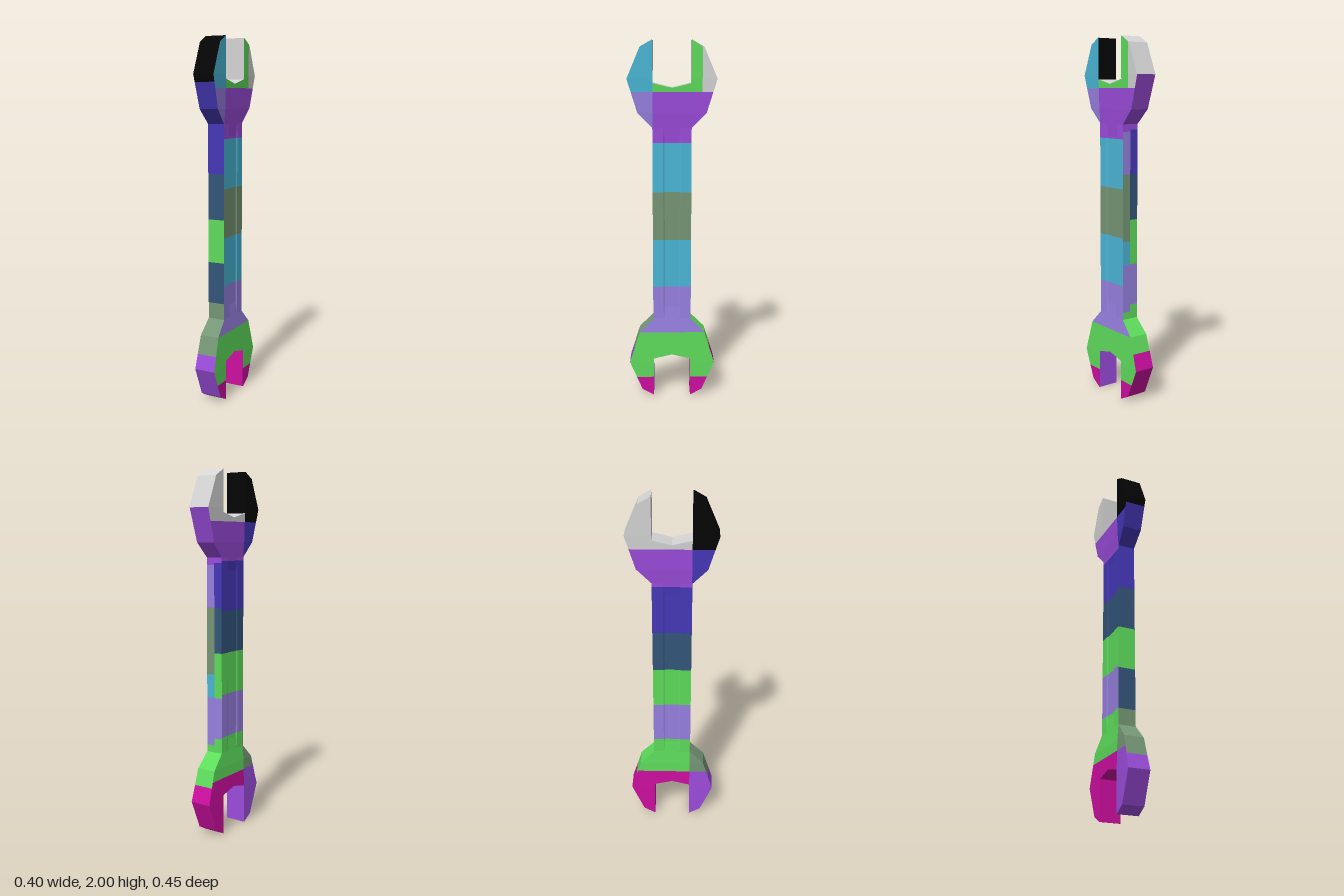
import * as THREE from 'three';

const mat = (name, color) => {
  const m = new THREE.MeshStandardMaterial({ color });
  m.name = name;
  return m;
};
const palette = {
  black: mat('black', 0x050505), gray: mat('gray', 0xd4d4d4),
  teal: mat('teal', 0x4ab6d6), green: mat('green', 0x5edc5c),
  lavender: mat('lavender', 0x9780e0), purple: mat('purple', 0x9c4cdc),
  indigo: mat('indigo', 0x4638b8), navy: mat('navy', 0x33557a),
  sage: mat('sage', 0x759675), magenta: mat('magenta', 0xcc0fa0),
};
const names = Object.keys(palette);

// Colour bands going up: [upper height, colour]
const front = [[0.11, 'magenta'], [0.38, 'green'], [0.65, 'lavender'], [0.92, 'teal'], [1.19, 'sage'], [1.46, 'teal']];
const back = [[0.32, 'magenta'], [0.55, 'green'], [0.79, 'lavender'], [1.02, 'green'], [1.25, 'navy'], [1.52, 'indigo'], [1.73, 'purple'], [2, 'gray']];
const left = [[0.28, 'purple'], [0.55, 'sage'], [0.78, 'navy'], [1.02, 'green'], [1.27, 'navy'], [1.76, 'indigo'], [2, 'black']];
const bands = {
  front: [...front, [1.73, 'purple'], [2, 'green']],
  frontRim: {
    '1': [...front, [1.73, 'purple'], [2, 'gray']],
    '-1': [...front, [1.54, 'purple'], [1.73, 'lavender'], [2, 'teal']],
  },
  back,
  backRim: {
    '1': back,
    '-1': [[0.32, 'purple'], [0.55, 'sage'], [0.79, 'lavender'], [1.02, 'green'], [1.25, 'navy'], [1.73, 'indigo'], [2, 'black']],
  },
  sideFront: {
    '1': [[0.29, 'magenta'], [0.5, 'green'], [0.77, 'lavender'], [0.9, 'teal'], [1.27, 'sage'], [1.5, 'lavender'], [1.8, 'purple'], [2, 'gray']],
    '-1': left,
  },
  sideBack: {
    '1': [[0.29, 'magenta'], [0.54, 'green'], [0.77, 'lavender'], [1.02, 'green'], [1.27, 'navy'], [1.51, 'indigo'], [1.8, 'purple'], [2, 'gray']],
    '-1': left,
  },
  slot: {
    '1': [[0.3, 'magenta'], [2, 'gray']],
    '-1': [[0.222, 'purple'], [0.3, 'magenta'], [1.778, 'gray'], [2, 'black']],
  },
};
const colourAt = (list, y) => list.find(([top]) => y < top)[1];

// Profiles as [distance from the nearer end, value]
const outerPts = [[0, 0.108], [0.035, 0.17], [0.2, 0.241], [0.38, 0.185], [0.46, 0.106], [1, 0.106]];
const innerPts = [[0, 0.104], [0.222, 0.104], [0.247, 0], [1, 0]];
const thickPts = [[0, 0.06], [0.2, 0.06], [0.38, 0.055], [0.46, 0.049], [1, 0.049]];
const dipPts = [[0, 0], [0.46, 0], [0.53, 0.005], [1, 0.005]];
function sample(pts, y) {
  const d = Math.min(y, 2 - y);
  let i = 1;
  while (i < pts.length - 1 && d > pts[i][0]) i++;
  const [a, p] = pts[i - 1], [b, q] = pts[i];
  return p + (q - p) * THREE.MathUtils.clamp((d - a) / (b - a), 0, 1);
}

// All heights where a profile bends or a colour changes
function heights() {
  const ys = [];
  for (const pts of [outerPts, innerPts, thickPts, dipPts]) for (const [d] of pts) ys.push(d, 2 - d);
  const collect = (b) => Array.isArray(b) ? b.forEach(([y]) => ys.push(y)) : Object.values(b).forEach(collect);
  collect(bands);
  return [...new Set(ys.map((y) => +y.toFixed(4)))].sort((a, b) => a - b);
}

// One section of the spanner between two heights
function section(name, y0, y1) {
  const tris = Object.fromEntries(names.map((n) => [n, []]));
  const e1 = new THREE.Vector3(), e2 = new THREE.Vector3();
  function quad(colour, out, a, b, c, d) {
    for (const [p, q, r] of [[a, b, c], [a, c, d]]) {
      e1.subVectors(q, p);
      e2.subVectors(r, p);
      e1.cross(e2);
      if (e1.length() < 1e-9) continue;
      for (const v of e1.dot(out) > 0 ? [p, q, r] : [p, r, q]) tris[colour].push(v.x, v.y, v.z);
    }
  }
  const V = (x, y, z) => new THREE.Vector3(x, y, z);
  const ys = heights().filter((y) => y >= y0 - 1e-6 && y <= y1 + 1e-6);

  for (const s of [1, -1]) {
    const cols = [0, 0.04, 0.048, s > 0 ? 0.162 : 0.104, 1];
    const uAt = (i, y) => THREE.MathUtils.clamp(cols[i], sample(innerPts, y), sample(outerPts, y));
    const zAt = (i, y) => sample(thickPts, y) - (i < 2 ? sample(dipPts, y) : 0);
    for (let k = 0; k + 1 < ys.length; k++) {
      const a = ys[k], b = ys[k + 1], m = (a + b) / 2;
      // broad faces, with a shallow groove along the shaft
      for (const f of [1, -1]) {
        for (let i = 0; i < 4; i++) {
          const side = f > 0 ? 'front' : 'back';
          const list = i === 3 ? bands[side + 'Rim'][s] : bands[side];
          const P = (j, y) => V(s * uAt(j, y), y, f * zAt(j, y));
          quad(colourAt(list, m), V(0, 0, f), P(i, a), P(i + 1, a), P(i + 1, b), P(i, b));
        }
        // outer edge
        const E = (y, w) => V(s * sample(outerPts, y), y, f * w * sample(thickPts, y));
        const edge = f > 0 ? bands.sideFront[s] : bands.sideBack[s];
        quad(colourAt(edge, m), V(s, 0, 0), E(a, 0), E(a, 1), E(b, 1), E(b, 0));
      }
      // slot wall and floor
      if (sample(innerPts, m) > 0) {
        const I = (y, w) => V(s * sample(innerPts, y), y, w * sample(thickPts, y));
        quad(colourAt(bands.slot[s], m), V(-s, 0, 0), I(a, -1), I(a, 1), I(b, 1), I(b, -1));
      }
    }
    // jaw tip
    for (const y of [y0, y1]) {
      if (y > 0 && y < 2) continue;
      const T = (pts, w) => V(s * sample(pts, y), y, w * 0.06);
      quad(colourAt(bands.sideBack[s], y ? 1.99 : 0), V(0, y - 1, 0),
        T(innerPts, -1), T(innerPts, 1), T(outerPts, 1), T(outerPts, -1));
    }
  }

  const geo = new THREE.BufferGeometry();
  const used = names.filter((n) => tris[n].length);
  let start = 0;
  used.forEach((n, i) => {
    geo.addGroup(start, tris[n].length / 3, i);
    start += tris[n].length / 3;
  });
  geo.setAttribute('position', new THREE.Float32BufferAttribute(used.flatMap((n) => tris[n]), 3));
  geo.computeVertexNormals();
  const mesh = new THREE.Mesh(geo, used.map((n) => palette[n]));
  mesh.name = name;
  return mesh;
}

export function createModel() {
  const spanner = new THREE.Group();
  spanner.name = 'spanner';
  spanner.add(section('lowerJaw', 0, 0.46), section('shaft', 0.46, 1.54), section('upperJaw', 1.54, 2));
  spanner.rotation.y = 0.88;
  const model = new THREE.Group();
  model.name = 'model';
  model.add(spanner);
  return model;
}
